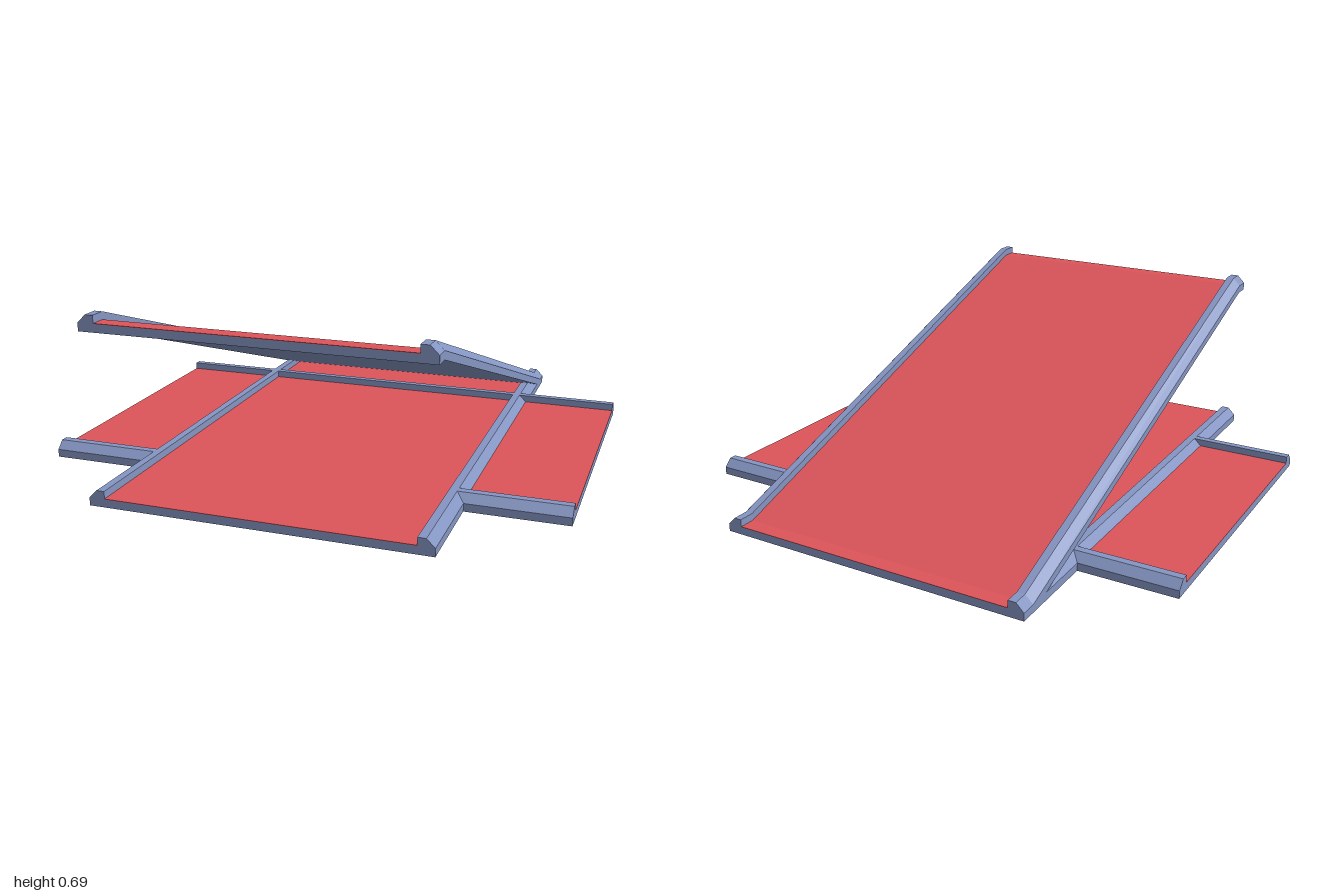
import * as THREE from 'three';

const blue = new THREE.MeshStandardMaterial({ color: 0x8595c2 });
blue.name = 'curb blue';
const red = new THREE.MeshStandardMaterial({ color: 0xdc555a });
red.name = 'road red';

// Half-widths and heights shared by every road section
const OUT = 0.625, MID = 0.595, IN = 0.565, SLAB = 0.03, TOP = 0.06;
const roadProfile = [
  [-OUT, 0], [OUT, 0], [OUT, SLAB], [MID, TOP], [IN, TOP], [IN, SLAB],
  [-IN, SLAB], [-IN, TOP], [-MID, TOP], [-OUT, SLAB],
];
const surfaceProfile = [[-IN, SLAB], [IN, SLAB], [IN, SLAB + 0.002], [-IN, SLAB + 0.002]];
const curbProfile = [[IN, 0.01], [OUT, 0.01], [OUT, SLAB], [MID, TOP], [IN, TOP]];

// Sweep a profile along z through stations of [z, lift], keeping its faces upright
function sweep(name, profile, stations, material) {
  const steps = stations.length - 1;
  const shape = new THREE.Shape(profile.map(([x, y]) => new THREE.Vector2(x, y)));
  const geo = new THREE.ExtrudeGeometry(shape, { depth: steps, steps, bevelEnabled: false });
  const pos = geo.attributes.position;
  for (let i = 0; i < pos.count; i++) {
    const [z, lift] = stations[Math.round(pos.getZ(i))];
    pos.setY(i, pos.getY(i) + lift);
    pos.setZ(i, z);
  }
  geo.computeVertexNormals();
  const mesh = new THREE.Mesh(geo, material);
  mesh.name = name;
  return mesh;
}

// Curbed slab with its coloured driving surface
function road(name, stations) {
  const group = new THREE.Group();
  group.name = name;
  group.add(
    sweep(name + 'Slab', roadProfile, stations, blue),
    sweep(name + 'Surface', surfaceProfile, stations, red),
  );
  return group;
}

export function createModel() {
  const model = new THREE.Group();
  model.name = 'rampCrossing';

  // Ground road and the ramp rising toward the front
  model.add(road('groundRoad', [[-1, 0], [1, 0]]));
  model.add(road('ramp', [[-1, 0], [-0.94, 0], [0.94, 0.63], [1, 0.63]]));

  // Side roads butt into the ground road's curbs
  for (const [name, turn] of [['leftSideRoad', 1], ['rightSideRoad', -1]]) {
    const side = road(name, [[0.58, 0], [1, 0]]);
    side.rotation.y = turn * Math.PI / 2;
    model.add(side);
  }

  // Curb crossing the ground road beneath the ramp
  const backCurb = sweep('backCurb', curbProfile, [[-0.58, 0], [0.58, 0]], blue);
  backCurb.rotation.y = Math.PI / 2;
  model.add(backCurb);

  return model;
}
